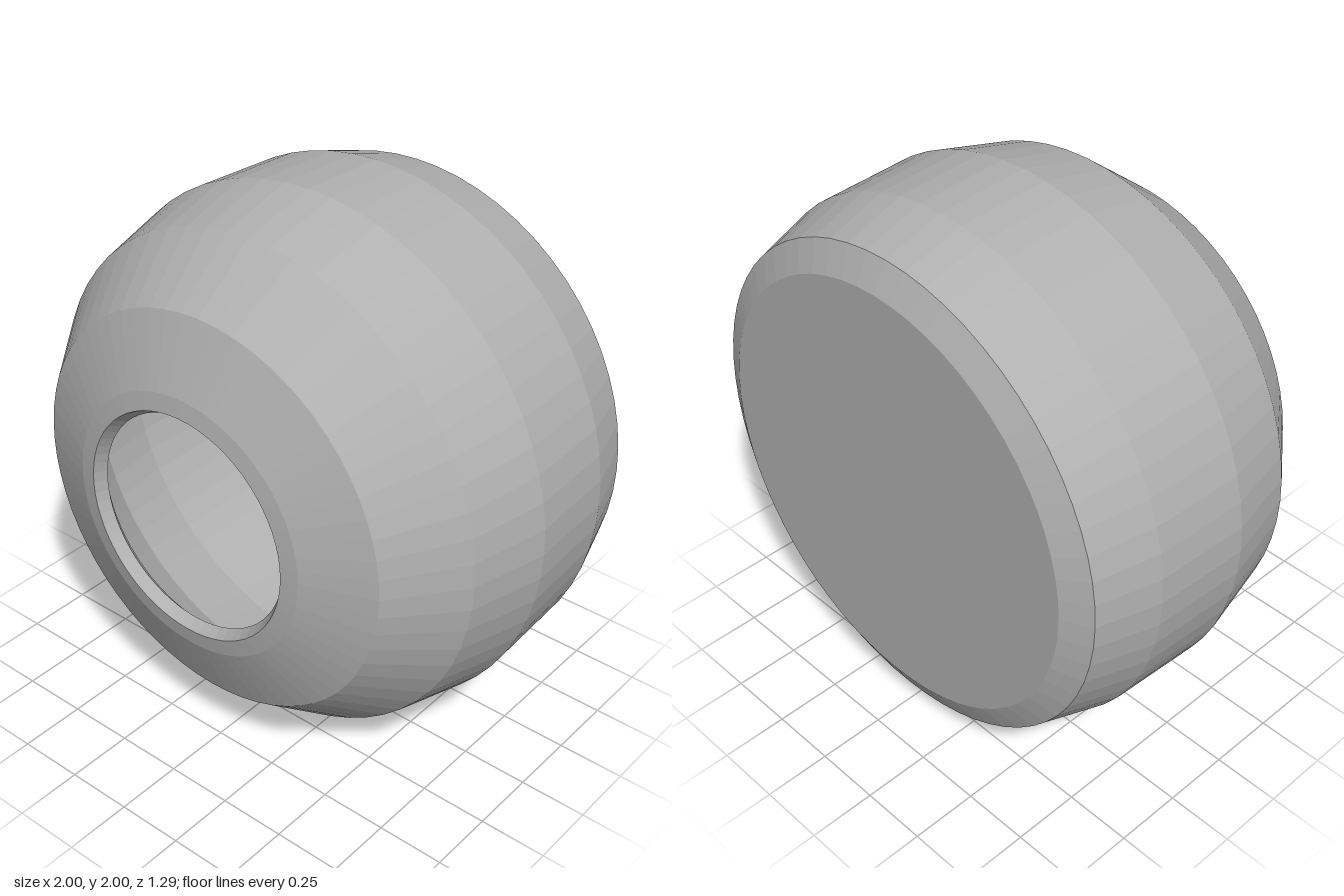
import * as THREE from 'three';

const SEGMENTS = 64;

// Revolves a [radius, z] profile around the z axis, faceted
function revolve(name, profile, material) {
  const points = profile.map(([r, z]) => new THREE.Vector2(r, z));
  const lathe = new THREE.LatheGeometry(points, SEGMENTS);
  lathe.rotateX(Math.PI / 2);
  const geometry = lathe.toNonIndexed();
  geometry.computeVertexNormals();
  const mesh = new THREE.Mesh(geometry, material);
  mesh.name = name;
  mesh.position.y = 1;
  return mesh;
}

export function createModel() {
  const group = new THREE.Group();
  group.name = 'hollowRoundHousing';

  const gray = new THREE.MeshStandardMaterial({ color: 0xb0b0b0 });
  gray.name = 'plain gray';

  // Hollow shell: outside from back to front, over the lip, then back inside
  group.add(revolve('shell', [
    [0.87, -0.59], [0.915, -0.59], [0.985, -0.36], [1, 0], [0.93, 0.29],
    [0.74, 0.535], [0.49, 0.632], [0.425, 0.643],
    [0.4, 0.6], [0.45, 0.56], [0.66, 0.46], [0.81, 0.25], [0.87, 0], [0.87, -0.59],
  ], gray));

  // Bevelled cover closing the back
  group.add(revolve('backCover', [
    [0, -0.643], [0.81, -0.643], [0.915, -0.59], [0, -0.59],
  ], gray));

  return group;
}
